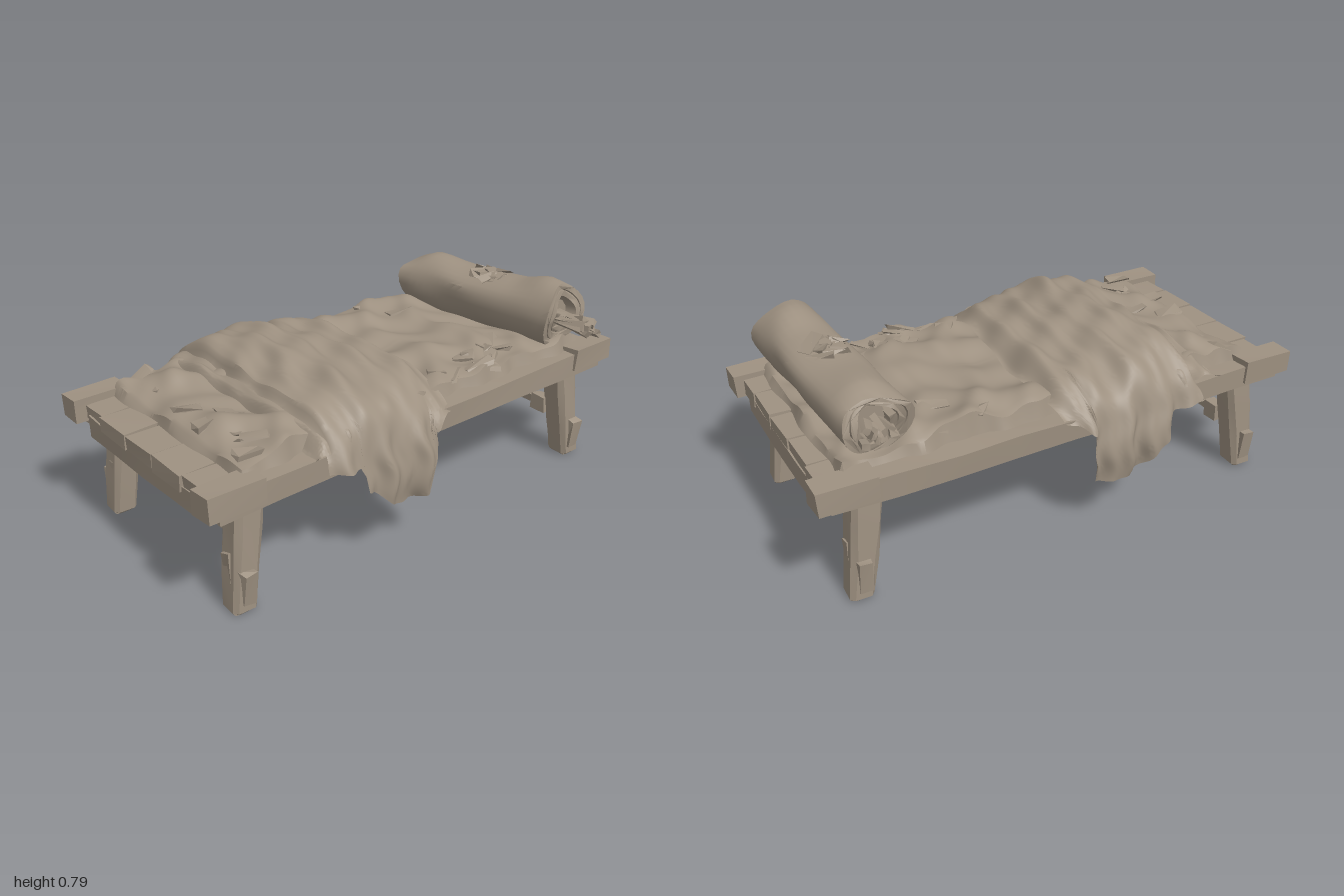
import * as THREE from 'three';
import { toCreasedNormals } from 'three/addons/utils/BufferGeometryUtils.js';

const agedTan = new THREE.MeshStandardMaterial({ color: 0x9e9181, side: THREE.DoubleSide });

let seed = 11;
const rand = () => { seed = (seed * 16807) % 2147483647; return seed / 2147483647; };
const range = (a, b) => a + (b - a) * rand();
const smooth = THREE.MathUtils.smoothstep, lerp = THREE.MathUtils.lerp;
const hash = (x, y, z) => { const s = Math.sin(x * 127.1 + y * 311.7 + z * 74.7) * 43758.5; return (s - Math.floor(s)) * 2 - 1; };

// Rounded crest with a broad trough, used for cloth folds, 0..1
const fold = (t) => (0.5 + 0.5 * Math.cos(t)) ** 2;
// Eased lookup through [position, value] pairs
function along(list, t) {
  for (let i = 1; i < list.length; i++) {
    const [a, p] = list[i - 1], [b, q] = list[i];
    if (t <= b) return lerp(p, q, smooth(t, a, b));
  }
  return list[list.length - 1][1];
}

function add(parent, name, geometry, x = 0, y = 0, z = 0) {
  const mesh = new THREE.Mesh(geometry, agedTan);
  mesh.name = name;
  mesh.position.set(x, y, z);
  parent.add(mesh);
  return mesh;
}

// Hand-hewn timber: a segmented box with slightly uneven corners
function timber(w, h, d, rough = 0.006, bend = null) {
  const n = (s) => Math.max(1, Math.min(8, Math.round(s / 0.2)));
  const g = new THREE.BoxGeometry(w, h, d, n(w), n(h), n(d));
  const p = g.attributes.position, k = rand() * 9;
  for (let i = 0; i < p.count; i++) {
    const v = new THREE.Vector3().fromBufferAttribute(p, i);
    const j = new THREE.Vector3(hash(v.x + k, v.y, v.z), hash(v.x, v.y + k, v.z), hash(v.x, v.y, v.z + k));
    v.addScaledVector(j, rough);
    if (bend) bend(v);
    p.setXYZ(i, v.x, v.y, v.z);
  }
  return toCreasedNormals(g, 0.35);
}

// Cloth surface sampled from fn(u, v) -> [x, y, z], u in -1..1, v in 0..1
function cloth(nu, nv, fn) {
  const pos = [], idx = [];
  for (let j = 0; j <= nv; j++) for (let i = 0; i <= nu; i++) pos.push(...fn((i / nu) * 2 - 1, j / nv));
  for (let j = 0; j < nv; j++) for (let i = 0; i < nu; i++) {
    const a = j * (nu + 1) + i, b = a + nu + 1;
    idx.push(a, b, a + 1, b, b + 1, a + 1);
  }
  const g = new THREE.BufferGeometry();
  g.setAttribute('position', new THREE.Float32BufferAttribute(pos, 3));
  g.setIndex(idx);
  return toCreasedNormals(g, 0.7);
}

// Leg: eight-sided post with flattened corners and a worn foot, splayed outward
function legGeometry(s, e) {
  const shape = new THREE.Shape([[0.036, 0.05], [-0.036, 0.05], [-0.053, 0.034], [-0.053, -0.034], [-0.036, -0.05], [0.036, -0.05], [0.053, -0.034], [0.053, 0.034]].map((c) => new THREE.Vector2(...c)));
  const g = new THREE.ExtrudeGeometry(shape, { depth: 0.44, steps: 3, bevelThickness: 0.01, bevelSize: 0.01, bevelOffset: -0.01, bevelSegments: 1 });
  g.translate(0, 0, -0.22).rotateX(-Math.PI / 2);
  const p = g.attributes.position;
  for (let i = 0; i < p.count; i++) {
    const x = p.getX(i), y = p.getY(i), z = p.getZ(i), t = 0.5 - y / 0.46;
    p.setXYZ(i, x + s * 0.018 * t + 0.004 * hash(x, y, z), y, z * (1.15 - 0.22 * t) + e * 0.06 * t + 0.004 * hash(z, x, y));
  }
  return toCreasedNormals(g, 0.35);
}

function buildFrame(bed) {
  for (const s of [-1, 1]) {
    add(bed, 'sideRail', timber(0.08, 0.09, 1.9, 0.005), s * 0.445, 0.455, 0);
    for (const e of [-1, 1]) {
      add(bed, 'railEndBlock', timber(0.1, 0.092, 0.22, 0.004), s * 0.448, 0.477, e * 0.89);
      add(bed, 'leg', legGeometry(s, e), s * 0.395, 0.235, e * 0.797);
      add(bed, 'splitWood', timber(0.03, 0.13, 0.055, 0.008), s * 0.46, 0.11, e * 0.845).rotation.z = -s * 0.12;
      add(bed, 'woodChip', timber(0.04, 0.12, 0.015, 0.006), s * 0.4, 0.17, e * 0.88).rotation.z = s * 0.1;
      add(bed, 'stretcherSocket', timber(0.07, 0.07, 0.05, 0.004), s * 0.33, 0.23, e * 0.785);
    }
  }
  for (const e of [-1, 1]) {
    add(bed, 'stretcher', timber(0.64, 0.036, 0.032, 0.003), 0, 0.236, e * 0.785);
    add(bed, 'endBeam', timber(0.75, 0.085, 0.09, 0.004, (v) => { v.y -= 0.012 * (1 - (v.x / 0.375) ** 2); }), 0, 0.42, e * 0.915);
    // Short board ends resting on the beam
    for (let i = 0; i < 5; i++)
      add(bed, 'boardEnd', timber(0.176, 0.05 + rand() * 0.012, 0.15, 0.003), (i - 2) * 0.184, 0.468, e * 0.885 + range(-0.006, 0.006));
  }
  // Long floor boards
  for (let i = 0; i < 5; i++)
    add(bed, 'floorBoard', timber(0.168, 0.04, 1.78, 0.003), (i - 2) * 0.166, 0.45, 0);
}

function buildMattress(bed) {
  const heights = [[-0.92, 0.52], [-0.7, 0.53], [-0.45, 0.55], [-0.15, 0.545], [0.1, 0.54], [0.6, 0.555], [0.75, 0.535], [0.86, 0.515]];
  add(bed, 'mattress', cloth(64, 120, (u, v) => {
    const edge = smooth(Math.abs(u), 0.93, 1), end = Math.max(smooth(v, 0.98, 1), 1 - smooth(v, 0, 0.02));
    let z = lerp(-0.9, 0.85, v);
    const x = 0.008 + u * (0.43 + 0.012 * Math.sin(z * 17 + u) + 0.008 * Math.sin(z * 41));
    const folds = 0.024 * fold(x * 13 + z * 6 + Math.sin(z * 9) * 1.2)
      + 0.018 * fold(z * 26 - x * 7 + Math.sin(x * 11) * 1.3)
      + 0.007 * Math.sin(x * 29 + z * 13 + Math.sin(z * 21));
    z += 0.012 * Math.sin(x * 16) * end;
    return [x, lerp(along(heights, z) + folds, 0.475, Math.max(edge, end)), z];
  }));
  // Crumpled tears along the edges and over the surface
  for (let i = 0; i < 26; i++) {
    const front = i % 3 === 0, side = rand() < 0.65 ? 1 : -1;
    const x = front ? range(-0.38, 0.38) : side * range(0.2, 0.4);
    const z = front ? range(0.64, 0.8) : range(-0.55, -0.12);
    const flap = add(bed, 'mattressTear', timber(range(0.06, 0.12), 0.014, range(0.03, 0.06), 0.01), x, range(0.54, 0.565), z);
    flap.rotation.set(range(-0.35, 0.35), range(0.8, 2.4), range(-0.25, 0.25));
  }
}

// Cloth draped across the bed; cut(v) limits how far each strip hangs, shift(x, v) skews the hems
function drape(z0, z1, heights, section, cut, shift) {
  return cloth(100, 72, (u, v) => {
    const side = Math.sign(u), t = Math.abs(u) * cut(v);
    let z = lerp(z0, z1, v);
    const curve = section(along(heights, z));
    const k = t * (curve.length - 1), i = Math.min(Math.floor(k), curve.length - 2);
    const at = (n) => curve[Math.max(0, Math.min(curve.length - 1, n))];
    // Smooth spline through the section points
    const spline = (c) => {
      const [a, b, d, e] = [at(i - 1)[c], at(i)[c], at(i + 1)[c], at(i + 2)[c]], f = k - i;
      return b + 0.5 * f * (d - a + f * (2 * a - 5 * b + 4 * d - e + f * (3 * (b - d) + e - a)));
    };
    const hang = smooth(t, 0.45, 0.75), flat = 1 - hang;
    let x = side * (i === 0 ? k * at(1)[0] : spline(0)), y = spline(1);
    const wave = 0.7 * fold(z * 31 + Math.sin(x * 4 + 1) * 2 + x * 3)
      + 0.5 * fold(z * 47 - x * 6 + Math.sin(x * 7 + z * 5) * 1.8);
    y += flat * (0.028 * wave - 0.012 + 0.009 * Math.sin(x * 9 + z * 8) + 0.006 * Math.sin(x * 27 - z * 19));
    x += side * hang * (0.016 * Math.sin(z * 38 + side + t * 3) + 0.008 * Math.sin(z * 71));
    z += shift(x, v) + 0.012 * Math.sin(x * 7 + 0.5) * flat + 0.01 * hang * Math.sin(y * 30);
    return [x, y, z];
  });
}

function buildBlanket(bed) {
  const hang = (h) => [[0, h], [0.22, h - 0.005], [0.37, h - 0.03], [0.475, h - 0.1], [0.525, 0.45], [0.55, 0.33], [0.535, 0.215]];
  add(bed, 'blanket', drape(-0.08, 0.53,
    [[-0.08, 0.575], [0, 0.635], [0.15, 0.65], [0.3, 0.683], [0.42, 0.67], [0.5, 0.645], [0.53, 0.6]], hang,
    (v) => along([[0, 0.54], [0.18, 0.68], [0.23, 0.99], [0.45, 0.99], [0.76, 0.84], [0.79, 0.7], [1, 0.68]], v),
    (x, v) => (1 - smooth(v, 0, 0.25)) * (0.17 * x * x - 0.015)));
  const tuck = (h) => [[0, h], [0.2, h], [0.36, h - 0.015], [0.45, h - 0.04], [0.485, 0.51]];
  add(bed, 'blanketFold', drape(0.34, 0.635,
    [[0.34, 0.6], [0.5, 0.605], [0.58, 0.595], [0.635, 0.535]], tuck, () => 1,
    (x, v) => -v * 0.075 * (x + 0.45)));
}

function buildBedroll(bed) {
  const roll = new THREE.Group();
  roll.name = 'bedroll';
  // Spiral section, outer edge out and inner edge back, loose end underneath
  const outer = [], inner = [], turns = 2.3, n = 60;
  for (let i = 0; i <= n; i++) {
    const a = (i / n) * turns * Math.PI * 2 + 2.83, r = 0.075 + (i / n) * 0.075;
    outer.push(new THREE.Vector2(Math.cos(a) * r, Math.sin(a) * r));
    inner.unshift(new THREE.Vector2(Math.cos(a) * (r - 0.027), Math.sin(a) * (r - 0.027)));
  }
  const g = new THREE.ExtrudeGeometry(new THREE.Shape([...outer, ...inner]), { depth: 0.78, steps: 22, bevelEnabled: false });
  g.translate(0, 0, -0.39).rotateY(Math.PI / 2);
  const p = g.attributes.position;
  for (let i = 0; i < p.count; i++) {
    const x = p.getX(i), y = p.getY(i), z = p.getZ(i), a = Math.atan2(y, z);
    const k = 1 + 0.025 * Math.sin(a * 3 + x * 11) + 0.03 * fold(x * 18 + a * 4) - 0.02;
    // The top sags in the middle and rises at the right end
    const sag = along([[-0.39, 0.62], [-0.31, 0.8], [-0.08, 0.66], [0.15, 0.74], [0.33, 0.98], [0.39, 0.92]], x);
    p.setXYZ(i, x + 0.018 * Math.sin(a * 2 + 1) * (x / 0.39), y * k * lerp(1, sag, smooth(y, 0, 0.12)), z * k);
  }
  add(roll, 'rolledCloth', toCreasedNormals(g, 0.6));
  add(roll, 'rollCore', new THREE.CylinderGeometry(0.06, 0.06, 0.72, 9), 0, -0.01).rotation.z = Math.PI / 2;
  // Loose stuffing poking out of both ends
  for (const s of [-1, 1]) for (let i = 0; i < 9; i++) {
    const len = s > 0 ? range(0.13, 0.18) : range(0.07, 0.11);
    const straw = add(roll, 'stuffing', timber(len, 0.022, 0.03, 0.007), s * (0.36 + len / 2), range(-0.06, 0.0), range(-0.06, 0.05));
    straw.rotation.set(range(0, 3), range(-0.25, 0.25), range(-0.2, 0.2));
  }
  // Torn patch on top
  for (let i = 0; i < 11; i++) {
    const a = range(0, 6.28), r = range(0.02, 0.085);
    const flap = add(roll, 'tornPatch', timber(range(0.05, 0.11), 0.012, range(0.02, 0.045), 0.012), 0.02 + Math.cos(a) * r, 0.1 - r * 0.12, 0.02 + Math.sin(a) * r * 0.8);
    flap.rotation.set(Math.sin(a) * 0.4, range(0, 3), range(-0.2, 0.2));
  }
  roll.position.set(0.02, 0.655, -0.757);
  roll.rotation.set(0, 0.055, 0.02);
  bed.add(roll);
}

export function createModel() {
  seed = 11;
  const bed = new THREE.Group();
  bed.name = 'bed';
  buildFrame(bed);
  buildMattress(bed);
  buildBlanket(bed);
  buildBedroll(bed);
  return bed;
}
